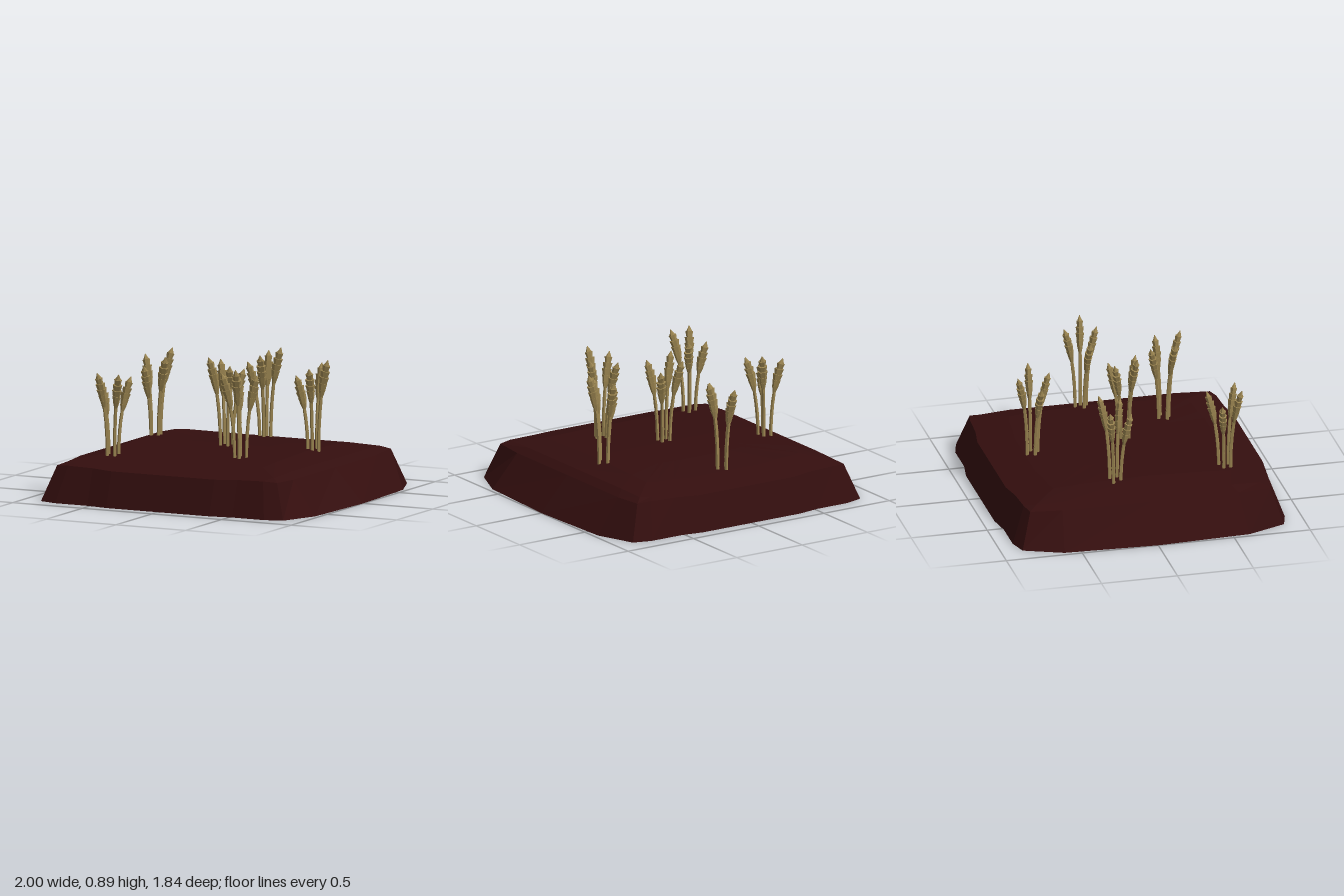
import * as THREE from 'three';
import { mergeGeometries } from 'three/addons/utils/BufferGeometryUtils.js';

const soil = new THREE.MeshStandardMaterial({ color: 0x330e0e, flatShading: true });
soil.name = 'dark soil';
const straw = new THREE.MeshStandardMaterial({ color: 0x9a8450, flatShading: true });
straw.name = 'straw';

// Mirrors one quarter of an outline [x, z] into a closed loop
function mirrorOutline(quarter) {
  const half = [...quarter, ...[...quarter].reverse().map(([x, z]) => [-x, z])];
  return [...half, ...half.slice(1, -1).reverse().map(([x, z]) => [x, -z])];
}

// Piecewise linear height lookup
function profile(points, v) {
  for (let i = 1; i < points.length; i++) {
    const [a, ya] = points[i - 1], [b, yb] = points[i];
    if (v <= b) return ya + (yb - ya) * (v - a) / (b - a);
  }
  return points[points.length - 1][1];
}

// Soil mound: sloped sides and a gently domed top, made from nested loops
function createMound() {
  const foot = mirrorOutline([[1, 0], [0.97, 0.61], [0.87, 0.86], [0.75, 0.895], [0.52, 0.895], [0.37, 0.92]]);
  const rim = mirrorOutline([[0.8, 0], [0.8, 0.58], [0.79, 0.79], [0.7, 0.81], [0.52, 0.82], [0.37, 0.845]]);
  const acrossX = [[0, 0.315], [0.35, 0.315], [0.6, 0.308], [0.75, 0.258], [0.8, 0.22]];
  const acrossZ = [[0, 0.315], [0.56, 0.29], [0.85, 0.225]];
  const height = (x, z) => Math.min(profile(acrossX, Math.abs(x)), profile(acrossZ, Math.abs(z)));
  const rings = [foot.map(() => [0, 0, 0]), foot.map(([x, z]) => [x, 0, z])];
  for (const s of [1, 0.935, 0.74, 0.4, 0]) {
    rings.push(rim.map(([x, z]) => [x * s, height(x * s, z * s), z * s]));
  }
  const n = foot.length, index = [];
  for (let r = 0; r < rings.length - 1; r++) {
    for (let i = 0; i < n; i++) {
      const a = r * n + i, b = r * n + (i + 1) % n, c = a + n, d = b + n;
      if (r < rings.length - 2) index.push(b, c, d);
      if (r > 0) index.push(a, c, b);
    }
  }
  const geometry = new THREE.BufferGeometry();
  geometry.setAttribute('position', new THREE.Float32BufferAttribute(rings.flat(2), 3));
  geometry.setIndex(index);
  geometry.computeVertexNormals();
  const mound = new THREE.Mesh(geometry, soil);
  mound.name = 'soilMound';
  return mound;
}

// Tapered piece between two points
function link(from, to, r0, r1, sides, flat = 1) {
  const dir = to.clone().sub(from);
  const g = new THREE.CylinderGeometry(r1, r0, dir.length(), sides);
  g.scale(1, 1, flat);
  g.applyQuaternion(new THREE.Quaternion().setFromUnitVectors(new THREE.Vector3(0, 1, 0), dir.normalize()));
  const mid = from.clone().lerp(to, 0.5);
  return g.translate(mid.x, mid.y, mid.z);
}

// Stalk: upright stem that bends outward into an ear of flared husks
function createStalk(cx, cz, tx, ty, tz) {
  const bx = cx + (tx - cx) * 0.33, bz = cz + (tz - cz) * 0.33;
  const curve = new THREE.QuadraticBezierCurve3(
    new THREE.Vector3(bx, 0.27, bz), new THREE.Vector3(bx, ty - 0.22, bz), new THREE.Vector3(tx, ty, tz));
  const stemEnd = 0.54;
  const stem = [], ear = [];
  for (let i = 0; i < 4; i++) {
    stem.push(link(curve.getPoint(i / 4 * stemEnd), curve.getPoint((i + 1) / 4 * stemEnd), 0.012, 0.011, 5));
  }
  const husks = [0.022, 0.028, 0.033, 0.032, 0.026];
  const at = (i) => curve.getPoint(stemEnd + (1 - stemEnd) * i / (husks.length + 1));
  husks.forEach((r, i) => ear.push(link(at(i), at(i + 1), i ? r * 0.75 : 0.011, r, 6, 0.85)));
  ear.push(link(at(husks.length), at(husks.length + 1), 0.02, 0.002, 6, 0.85));

  const stalk = new THREE.Group();
  stalk.name = 'stalk';
  for (const [name, parts] of [['stem', stem], ['ear', ear]]) {
    const mesh = new THREE.Mesh(mergeGeometries(parts), straw);
    mesh.name = name;
    stalk.add(mesh);
  }
  return stalk;
}

// Each clump: centre [x, z] and the tips [x, y, z] of its four stalks
const clumps = [
  { at: [0, -0.58], tips: [[-0.03, 0.82, -0.68], [0.11, 0.86, -0.58], [-0.11, 0.76, -0.54], [0.02, 0.82, -0.46]] },
  { at: [-0.59, -0.18], tips: [[-0.69, 0.81, -0.24], [-0.51, 0.86, -0.27], [-0.48, 0.82, -0.12], [-0.62, 0.76, -0.08]] },
  { at: [0.59, -0.11], tips: [[0.59, 0.85, -0.22], [0.7, 0.89, -0.09], [0.48, 0.78, -0.07], [0.61, 0.84, 0]] },
  { at: [0.04, 0.04], tips: [[-0.05, 0.85, -0.05], [0.12, 0.8, -0.05], [-0.06, 0.88, 0.1], [0.11, 0.84, 0.13]] },
  { at: [0.31, 0.36], tips: [[0.24, 0.81, 0.26], [0.41, 0.83, 0.33], [0.2, 0.84, 0.42], [0.33, 0.88, 0.48]] },
  { at: [-0.51, 0.56], tips: [[-0.61, 0.74, 0.52], [-0.43, 0.78, 0.46], [-0.57, 0.82, 0.66], [-0.42, 0.82, 0.65]] },
];

export function createModel() {
  const model = new THREE.Group();
  model.name = 'cropField';
  model.add(createMound());
  for (const { at, tips } of clumps) {
    const clump = new THREE.Group();
    clump.name = 'grainClump';
    for (const tip of tips) clump.add(createStalk(...at, ...tip));
    model.add(clump);
  }
  return model;
}
